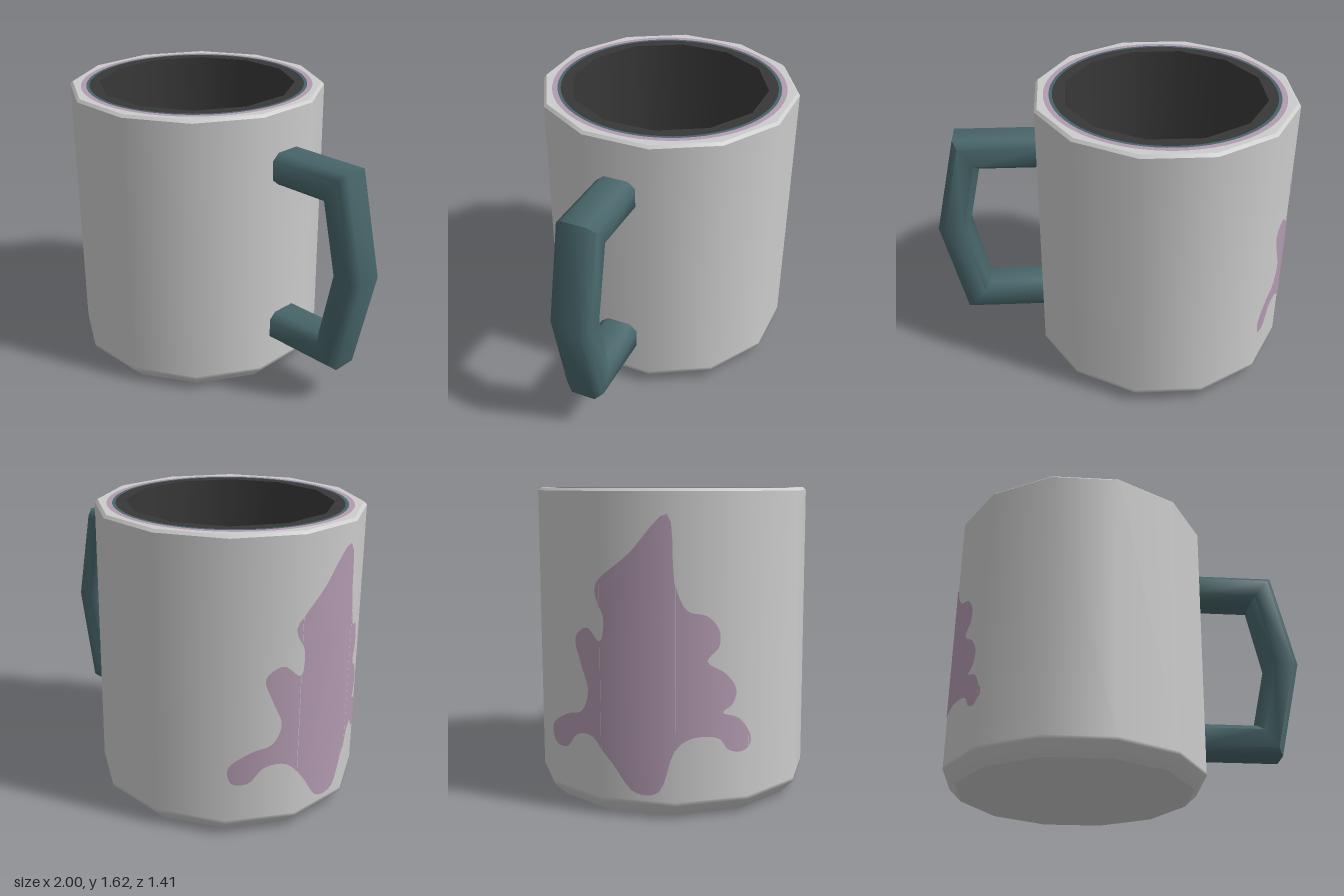
import * as THREE from 'three';
import { toCreasedNormals } from 'three/addons/utils/BufferGeometryUtils.js';

const SIDES = 12, STEP = Math.PI / 6, HALF = STEP / 2;
const R = 0.73;            // corner radius of the outer wall
const TOP = 1.62, AXIS = -0.295;

function mat(name, color) {
  const m = new THREE.MeshStandardMaterial({ color });
  m.name = name;
  return m;
}

// Points of a regular polygon, with flat sides facing the axes when n = 12
function ringPoints(r, n) {
  const pts = [];
  for (let i = 0; i < n; i++) {
    const a = HALF + (i / n) * Math.PI * 2;
    pts.push(new THREE.Vector2(r * Math.cos(a), r * Math.sin(a)));
  }
  return pts;
}

// Flat ring facing up
function flatRing(rOut, nOut, rIn, nIn, y) {
  const shape = new THREE.Shape(ringPoints(rOut, nOut));
  if (rIn) shape.holes.push(new THREE.Path(ringPoints(rIn, nIn)));
  return new THREE.ShapeGeometry(shape).rotateX(-Math.PI / 2).translate(0, y, 0);
}

function lathe(points) {
  return new THREE.LatheGeometry(points.map(p => new THREE.Vector2(...p)), SIDES, HALF);
}

// Keep the part of a convex polygon where sign * (x - limit) >= 0
function clip(poly, limit, sign) {
  const out = [];
  poly.forEach((a, i) => {
    const b = poly[(i + 1) % poly.length];
    const da = sign * (a.x - limit), db = sign * (b.x - limit);
    if (da >= 0) out.push(a);
    if (da * db < 0) out.push(a.clone().lerp(b, da / (da - db)));
  });
  return out;
}

// Wrap a flat outline (u around the wall, y up) over the wall panels around -x
function wrapOnWall(outline) {
  const curve = new THREE.CatmullRomCurve3(outline.map(p => new THREE.Vector3(p[0], p[1], 0)), true, 'centripetal');
  const shape = new THREE.Shape(curve.getPoints(160).slice(0, -1).map(p => new THREE.Vector2(p.x, p.y)));
  const flat = new THREE.ShapeGeometry(shape).toNonIndexed().attributes.position;
  const width = 2 * R * Math.sin(HALF), apothem = R * Math.cos(HALF) + 0.004;
  const pos = [], nor = [];
  for (let t = 0; t < flat.count; t += 3) {
    const tri = [0, 1, 2].map(k => new THREE.Vector2(flat.getX(t + k), flat.getY(t + k)));
    for (let panel = -2; panel <= 2; panel++) {
      const mid = panel * width;
      const poly = clip(clip(tri, mid - width / 2, 1), mid + width / 2, -1);
      const c = Math.cos(panel * STEP), s = Math.sin(panel * STEP);
      for (let k = 1; k + 1 < poly.length; k++) {
        for (const p of [poly[0], poly[k], poly[k + 1]]) {
          const v = p.x - mid;
          const x = -apothem * c + v * s, z = apothem * s + v * c;
          const len = Math.hypot(x, z);
          pos.push(x, p.y, z);
          nor.push(x / len, 0, z / len);
        }
      }
    }
  }
  const g = new THREE.BufferGeometry();
  g.setAttribute('position', new THREE.Float32BufferAttribute(pos, 3));
  g.setAttribute('normal', new THREE.Float32BufferAttribute(nor, 3));
  return g;
}

// Handle: chamfered section swept between an outer and an inner line
function handleGeometry() {
  const outer = [[0.38, 1.385], [0.87, 1.385], [1, 0.81], [0.87, 0.235], [0.38, 0.235]];
  const inner = [[0.38, 1.205], [0.735, 1.205], [0.82, 0.81], [0.735, 0.415], [0.38, 0.415]];
  const section = [[0, -0.07], [0, 0.07], [0.2, 0.113], [0.8, 0.113], [1, 0.07], [1, -0.07], [0.8, -0.113], [0.2, -0.113]];
  const n = section.length, pos = [], idx = [];
  outer.forEach((o, i) => {
    for (const [t, z] of section) {
      pos.push(o[0] + (inner[i][0] - o[0]) * t, o[1] + (inner[i][1] - o[1]) * t, z);
    }
  });
  for (let i = 0; i + 1 < outer.length; i++) {
    for (let j = 0; j < n; j++) {
      const a = i * n + j, b = i * n + (j + 1) % n;
      idx.push(a, b, a + n, b, b + n, a + n);
    }
  }
  const g = new THREE.BufferGeometry();
  g.setAttribute('position', new THREE.Float32BufferAttribute(pos, 3));
  g.setIndex(idx);
  return toCreasedNormals(g, 0.95);
}

export function createModel() {
  const grey = mat('light grey glaze', 0xcccccc);
  const mauve = mat('mauve', 0xb29ab0);
  const teal = mat('dark teal', 0x48666a);
  const dark = mat('charcoal', 0x383838);

  const model = new THREE.Group();
  model.name = 'mug';
  const cup = new THREE.Group();
  cup.name = 'cup';
  cup.position.x = AXIS;
  model.add(cup);
  const add = (parent, name, geometry, material) => {
    const mesh = new THREE.Mesh(geometry, material);
    mesh.name = name;
    parent.add(mesh);
  };

  // Outer wall with softened foot, top bevel and base
  add(cup, 'outerWall', lathe([[0.658, 0], [R, 0.07], [R, 0.09], [R, 1.605]]), grey);
  add(cup, 'rimBevel', lathe([[R, 1.605], [0.715, TOP]]), grey);
  add(cup, 'base', new THREE.CircleGeometry(0.658, SIDES, HALF).rotateX(Math.PI / 2), grey);

  // Rim: concentric coloured bands
  add(cup, 'rim', flatRing(0.715, SIDES, 0.66, 72, TOP), grey);
  add(cup, 'rimMauveBand', flatRing(0.66, 72, 0.63, 72, TOP), mauve);
  add(cup, 'rimTealBand', flatRing(0.63, 72, 0.612, 72, TOP), teal);
  add(cup, 'rimInnerEdge', flatRing(0.612, 72, 0.56, SIDES, TOP), dark);

  // Inside
  add(cup, 'innerWall', lathe([[0.56, TOP], [0.56, 0.1]]), dark);
  add(cup, 'innerFloor', flatRing(0.56, SIDES, 0, 0, 0.1), grey);

  // Painted splash on the side opposite the handle
  const splash = [
    [0.15, 1.5], [-0.04, 1.31], [-0.22, 1.14], [-0.17, 1.0], [-0.19, 0.88], [-0.28, 0.94], [-0.37, 0.88],
    [-0.33, 0.75], [-0.28, 0.62], [-0.33, 0.51], [-0.43, 0.48], [-0.56, 0.4], [-0.54, 0.31], [-0.45, 0.3],
    [-0.37, 0.38], [-0.25, 0.39], [-0.14, 0.28], [-0.02, 0.13], [0.1, 0.135], [0.19, 0.36], [0.27, 0.41],
    [0.41, 0.4], [0.46, 0.34], [0.53, 0.325], [0.58, 0.37], [0.56, 0.44], [0.51, 0.5], [0.43, 0.53],
    [0.48, 0.57], [0.5, 0.64], [0.45, 0.72], [0.35, 0.79], [0.41, 0.86], [0.41, 0.94], [0.35, 1.01],
    [0.25, 1.04], [0.19, 1.16],
  ];
  add(cup, 'splash', wrapOnWall(splash), mauve);

  add(model, 'handle', handleGeometry(), teal);
  return model;
}
